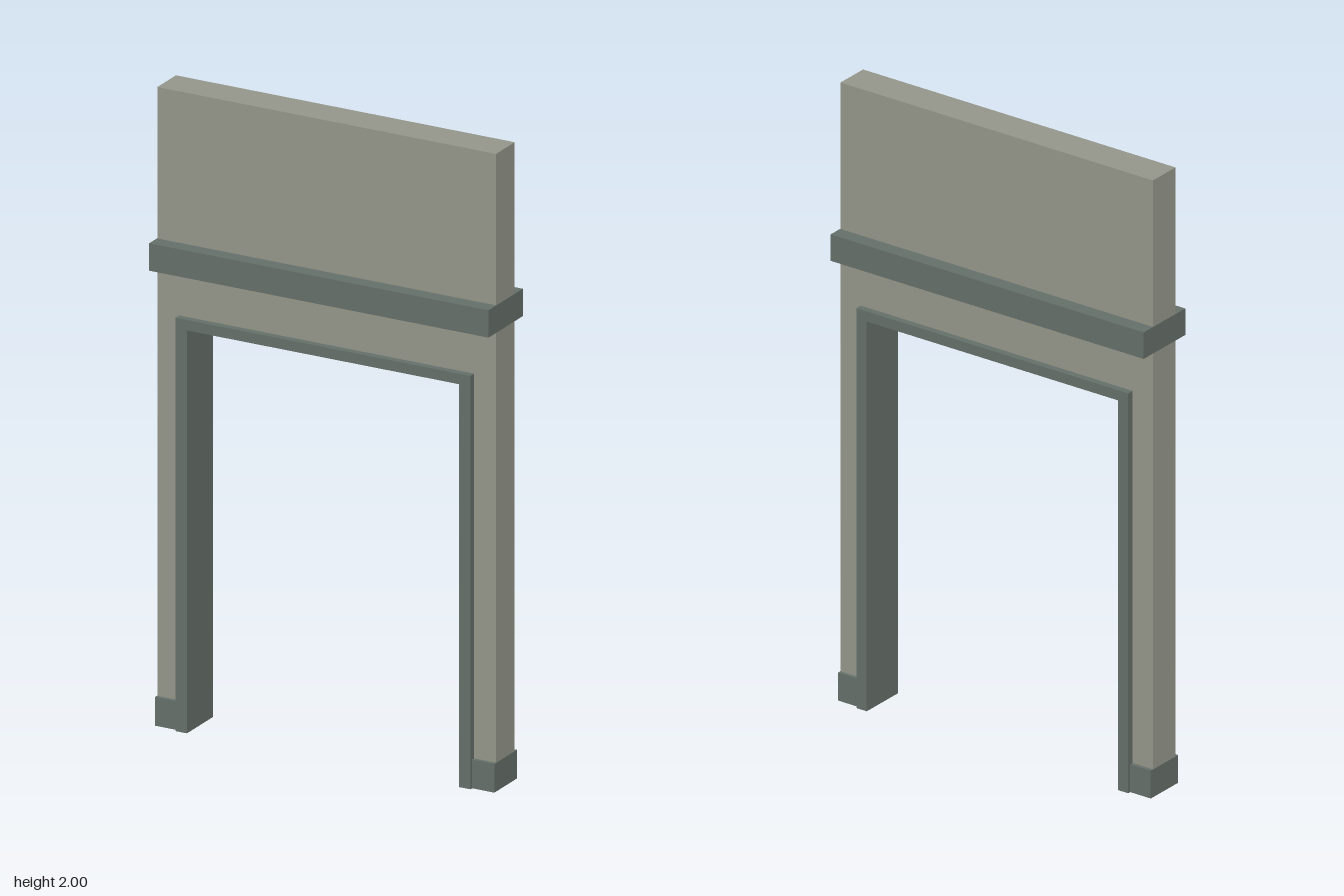
import * as THREE from 'three';

const wallMaterial = new THREE.MeshStandardMaterial({ color: 0x94968a });
wallMaterial.name = 'pale stone';
const trimMaterial = new THREE.MeshStandardMaterial({ color: 0x656f69 });
trimMaterial.name = 'dark stone';

const HALF_WIDTH = 0.57, HEIGHT = 2;
const OPENING = { x: 0.496, y: 1.297 }; // hole in the wall
const PASSAGE = { x: 0.458, y: 1.264 }; // clear space inside the frame

// Upside-down U shape, extruded and centred on z = 0
function portal(name, outer, inner, depth, material) {
  const shape = new THREE.Shape([
    [-outer.x, 0], [-inner.x, 0], [-inner.x, inner.y], [inner.x, inner.y],
    [inner.x, 0], [outer.x, 0], [outer.x, outer.y], [-outer.x, outer.y],
  ].map(([x, y]) => new THREE.Vector2(x, y)));
  const geometry = new THREE.ExtrudeGeometry(shape, { depth, bevelEnabled: false });
  geometry.translate(0, 0, -depth / 2);
  const mesh = new THREE.Mesh(geometry, material);
  mesh.name = name;
  return mesh;
}

function box(name, width, height, depth, x, y) {
  const mesh = new THREE.Mesh(new THREE.BoxGeometry(width, height, depth), trimMaterial);
  mesh.name = name;
  mesh.position.set(x, y, 0);
  return mesh;
}

export function createModel() {
  const model = new THREE.Group();
  model.name = 'doorway';

  // Wall with its opening, and the frame lining it
  model.add(portal('wall', { x: HALF_WIDTH, y: HEIGHT }, OPENING, 0.112, wallMaterial));
  model.add(portal('doorFrame', OPENING, PASSAGE, 0.156, trimMaterial));

  // Projecting band above the opening
  model.add(box('band', HALF_WIDTH * 2 + 0.002, 0.086, 0.206, 0, 1.482));

  // Plinth around the foot of each pier
  const plinthWidth = HALF_WIDTH - OPENING.x + 0.001;
  for (const [name, side] of [['leftPlinth', 1], ['rightPlinth', -1]]) {
    model.add(box(name, plinthWidth, 0.09, 0.136, side * (OPENING.x + plinthWidth / 2), 0.045));
  }
  return model;
}
